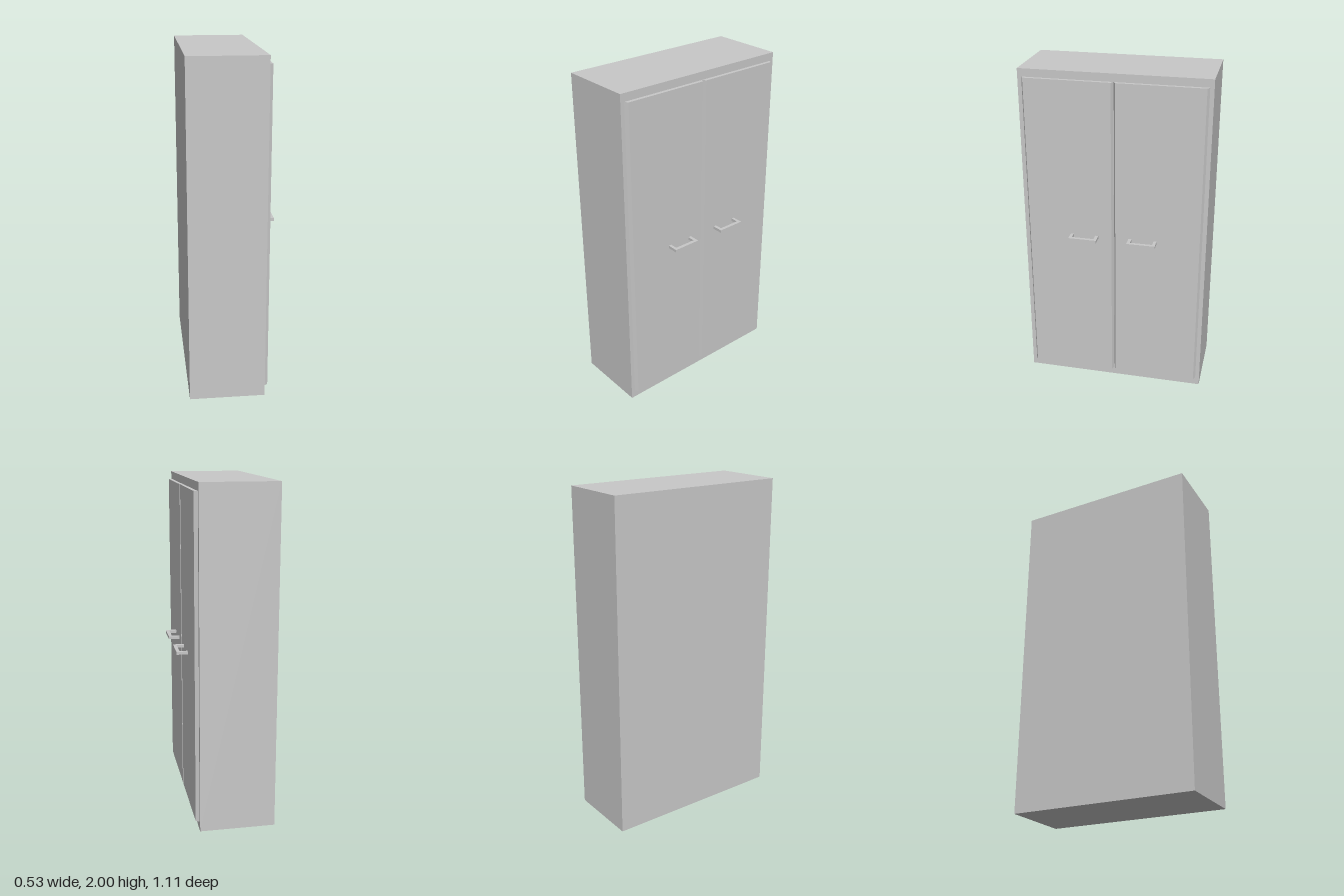
import * as THREE from 'three';

// Extrudes a plan outline of [x, z] points upwards from y0 to y1
function extrudePlan(points, y0, y1) {
  const shape = new THREE.Shape(points.map(([x, z]) => new THREE.Vector2(x, -z)));
  const geometry = new THREE.ExtrudeGeometry(shape, { depth: y1 - y0, bevelEnabled: false });
  geometry.rotateX(-Math.PI / 2);
  geometry.translate(0, y0, 0);
  return geometry;
}

export function createModel() {
  const group = new THREE.Group();
  const grey = new THREE.MeshStandardMaterial({ color: 0xc8c8c8 });
  grey.name = 'light grey';

  function add(name, geometry) {
    const mesh = new THREE.Mesh(geometry, grey);
    mesh.name = name;
    group.add(mesh);
  }

  const face = 0.178; // cabinet side that carries the doors
  const doorFace = 0.199;

  // Cabinet body
  const body = new THREE.BoxGeometry(face + 0.267, 2, 1.108);
  body.translate((face - 0.267) / 2, 1, 0);
  add('cabinetBody', body);

  // Pair of doors with slanted vertical edges, each with a bracket handle
  for (const [side, s] of [['left', 1], ['right', -1]]) {
    const door = [[face, 0.001], [doorFace, 0.012], [doorFace, 0.518], [face, 0.53]];
    add(side + 'Door', extrudePlan(door.map(([x, z]) => [x, s * z]), 0.05, 1.953));

    const handle = [
      [doorFace, 0.092], [0.265, 0.092], [0.265, 0.262], [doorFace, 0.262],
      [doorFace, 0.244], [0.245, 0.244], [0.245, 0.111], [doorFace, 0.111],
    ];
    add(side + 'Handle', extrudePlan(handle.map(([x, z]) => [x, s * z]), 0.993, 1.01));
  }
  return group;
}
